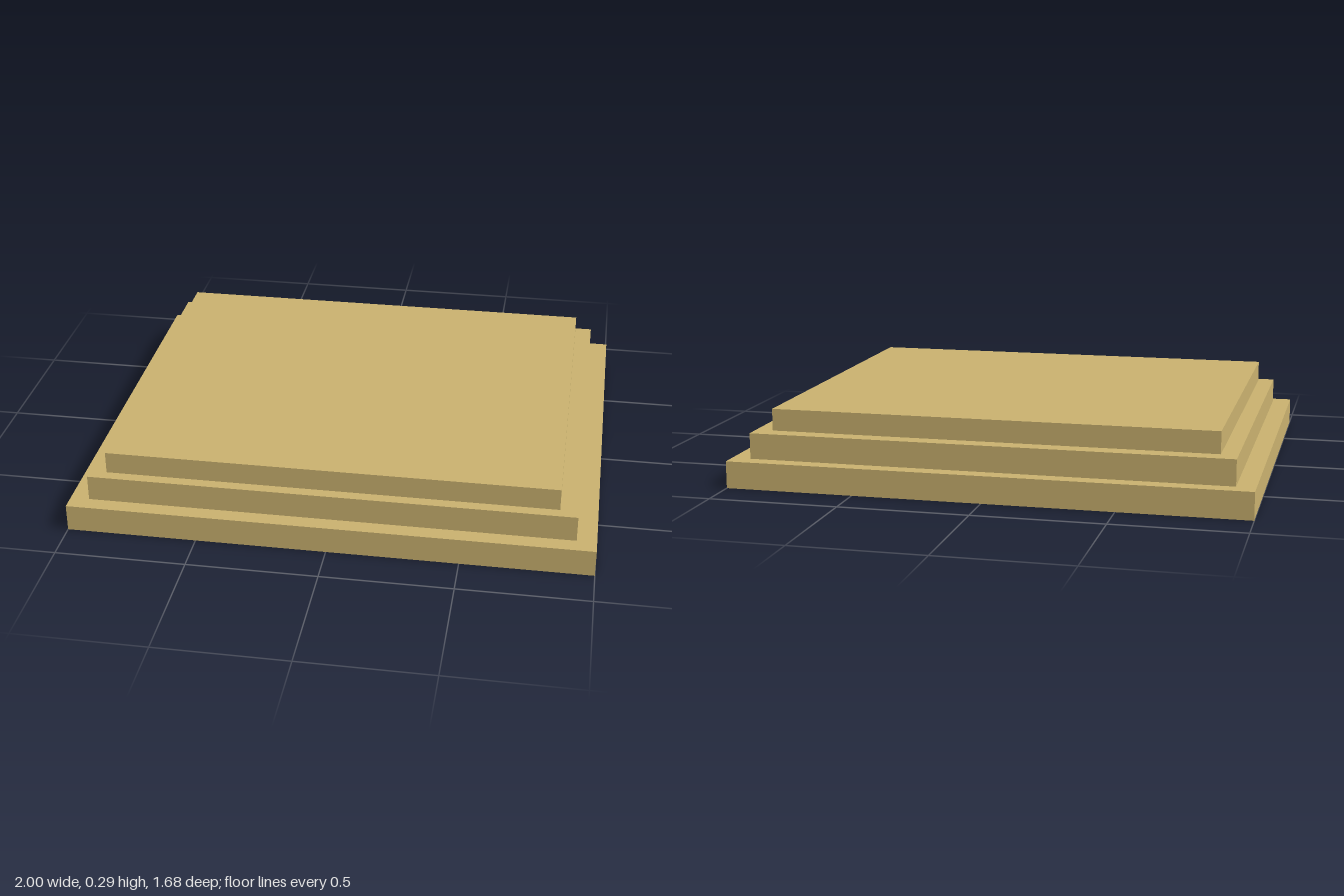
import * as THREE from 'three';

// Each tier: x extents, y extents, and z positions of the ends and the joints between slabs
const TIERS = [
  { name: 'bottomStep', x: [-1, 1], y: [0, 0.105], z: [-0.84, -0.555, -0.272, 0.01, 0.84] },
  { name: 'middleStep', x: [-0.927, 0.925], y: [0.105, 0.205], z: [-0.78, -0.52, 0.01, 0.778] },
  { name: 'topStep', x: [-0.863, 0.857], y: [0.205, 0.29], z: [-0.715, -0.472, -0.225, 0.01, 0.735] },
];

export function createModel() {
  const model = new THREE.Group();
  model.name = 'steppedPlatform';
  const stone = new THREE.MeshStandardMaterial({ color: 0xc8b06e });

  for (const { name, x, y, z } of TIERS) {
    const tier = new THREE.Group();
    tier.name = name;
    // Slabs laid side by side from back to front
    for (let i = 0; i < z.length - 1; i++) {
      const slab = new THREE.Mesh(
        new THREE.BoxGeometry(x[1] - x[0], y[1] - y[0], z[i + 1] - z[i]), stone);
      slab.position.set((x[0] + x[1]) / 2, (y[0] + y[1]) / 2, (z[i] + z[i + 1]) / 2);
      slab.name = `${name}Slab${i + 1}`;
      tier.add(slab);
    }
    model.add(tier);
  }
  return model;
}
